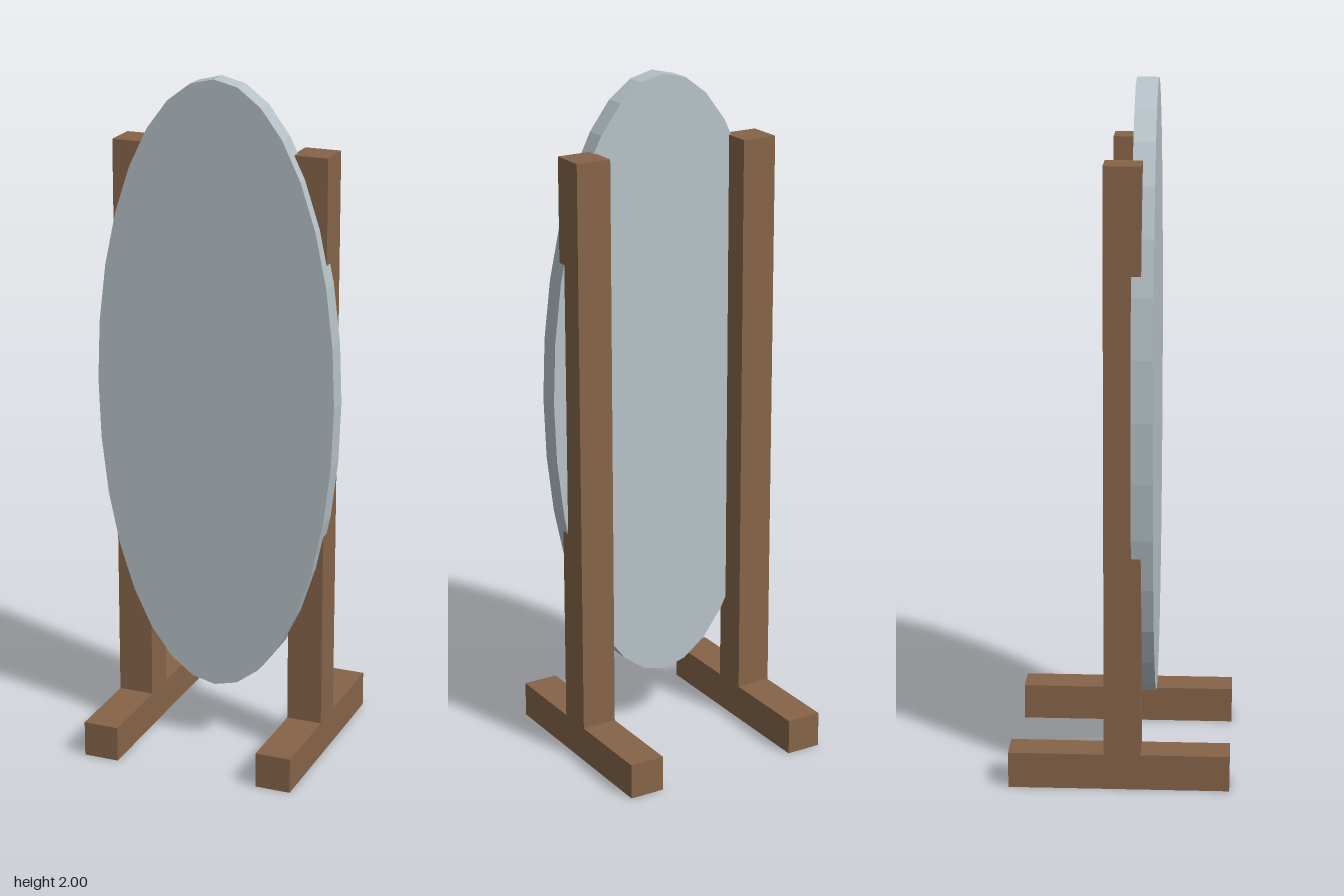
import * as THREE from 'three';

export function createModel() {
  const model = new THREE.Group();
  const wood = new THREE.MeshStandardMaterial({ name: 'brownWood', color: 0x866448 });
  const glass = new THREE.MeshStandardMaterial({ name: 'paleGlass', color: 0xb6c2c8, flatShading: true });

  const add = (name, geometry, material, x, y, z) => {
    const mesh = new THREE.Mesh(geometry, material);
    mesh.name = name;
    mesh.position.set(x, y, z);
    model.add(mesh);
  };

  // Oval mirror panel: a 32-sided disc stretched upright
  const panel = new THREE.CylinderGeometry(1, 1, 0.062, 32);
  panel.rotateX(Math.PI / 2);
  panel.scale(0.362, 0.905, 1);
  add('mirrorPanel', panel, glass, 0, 1.095, 0.066);

  // An upright post on a long foot at each side
  const footHeight = 0.105;
  const postHeight = 1.8 - footHeight;
  for (const [side, s] of [['left', 1], ['right', -1]]) {
    add(side + 'Foot', new THREE.BoxGeometry(0.105, footHeight, 0.634), wood, s * 0.27, footHeight / 2, 0);
    add(side + 'Post', new THREE.BoxGeometry(0.105, postHeight, 0.105), wood,
      s * 0.27, footHeight + postHeight / 2, 0.01);
  }
  return model;
}
